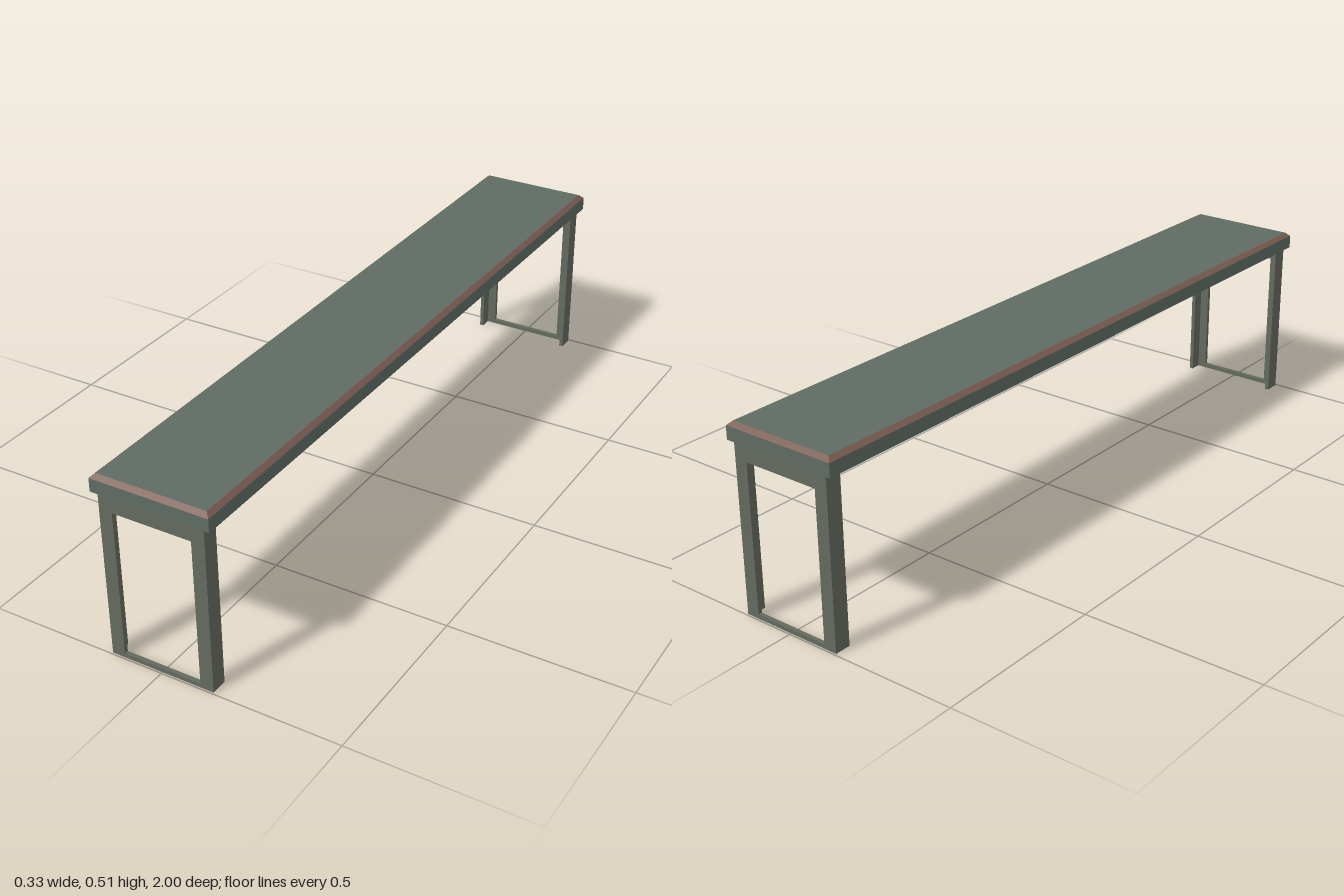
import * as THREE from 'three';

const topMat = new THREE.MeshStandardMaterial({ color: 0x5f6b63 });
const frameMat = new THREE.MeshStandardMaterial({ color: 0x636a5e });
const trimMat = new THREE.MeshStandardMaterial({ color: 0x7b5c52 });

// Box given by its min and max corners
function block(name, mat, min, max) {
  const size = max.map((v, i) => v - min[i]);
  const mesh = new THREE.Mesh(new THREE.BoxGeometry(...size), mat);
  mesh.position.set(...max.map((v, i) => (v + min[i]) / 2));
  mesh.name = name;
  return mesh;
}

const W = 0.165, FRAME_W = 0.147, FRAME_H = 0.462;
const OUT = 0.995, INNER = 0.95, T = 0.011;

// End frame of angle sections: flat face with an opening, flanges turned inward
function endFrame(name) {
  const frame = new THREE.Group();
  frame.name = name;

  const outline = new THREE.Shape([
    [-FRAME_W, 0], [FRAME_W, 0], [FRAME_W, FRAME_H], [-FRAME_W, FRAME_H],
  ].map(p => new THREE.Vector2(...p)));
  outline.holes.push(new THREE.Path([
    [-0.11, 0.012], [-0.11, 0.418], [0.11, 0.418], [0.11, 0.012],
  ].map(p => new THREE.Vector2(...p))));
  const face = new THREE.Mesh(
    new THREE.ExtrudeGeometry(outline, { depth: T, bevelEnabled: false }), frameMat);
  face.position.z = OUT - T;
  face.name = 'frameFace';
  frame.add(face);

  // Leg flanges and the flange under the seat
  for (const s of [-1, 1]) {
    const x = s * (FRAME_W - T / 2);
    frame.add(block('legFlange', frameMat,
      [x - T / 2, 0, INNER], [x + T / 2, FRAME_H, OUT - T]));
  }
  frame.add(block('railFlange', frameMat,
    [-FRAME_W + T, FRAME_H - T, INNER], [FRAME_W - T, FRAME_H, OUT - T]));
  return frame;
}

export function createModel() {
  const bench = new THREE.Group();
  bench.name = 'bench';

  // Seat board
  bench.add(block('seatBoard', topMat, [-W, FRAME_H, -1], [W, 0.499, 1]));

  // Chamfered upper edge: a thin box whose top corners are drawn inward
  const cap = block('seatChamfer', [trimMat, trimMat, topMat, topMat, trimMat, trimMat],
    [-W, 0.499, -1], [W, 0.51, 1]);
  const pos = cap.geometry.attributes.position;
  for (let i = 0; i < pos.count; i++) {
    if (pos.getY(i) < 0) continue;
    pos.setX(i, pos.getX(i) - Math.sign(pos.getX(i)) * 0.012);
    pos.setZ(i, pos.getZ(i) - Math.sign(pos.getZ(i)) * 0.012);
  }
  cap.geometry.computeVertexNormals();
  bench.add(cap);

  // Front and back end frames
  const front = endFrame('frontFrame');
  const back = endFrame('backFrame');
  back.rotation.y = Math.PI;
  bench.add(front, back);
  return bench;
}
